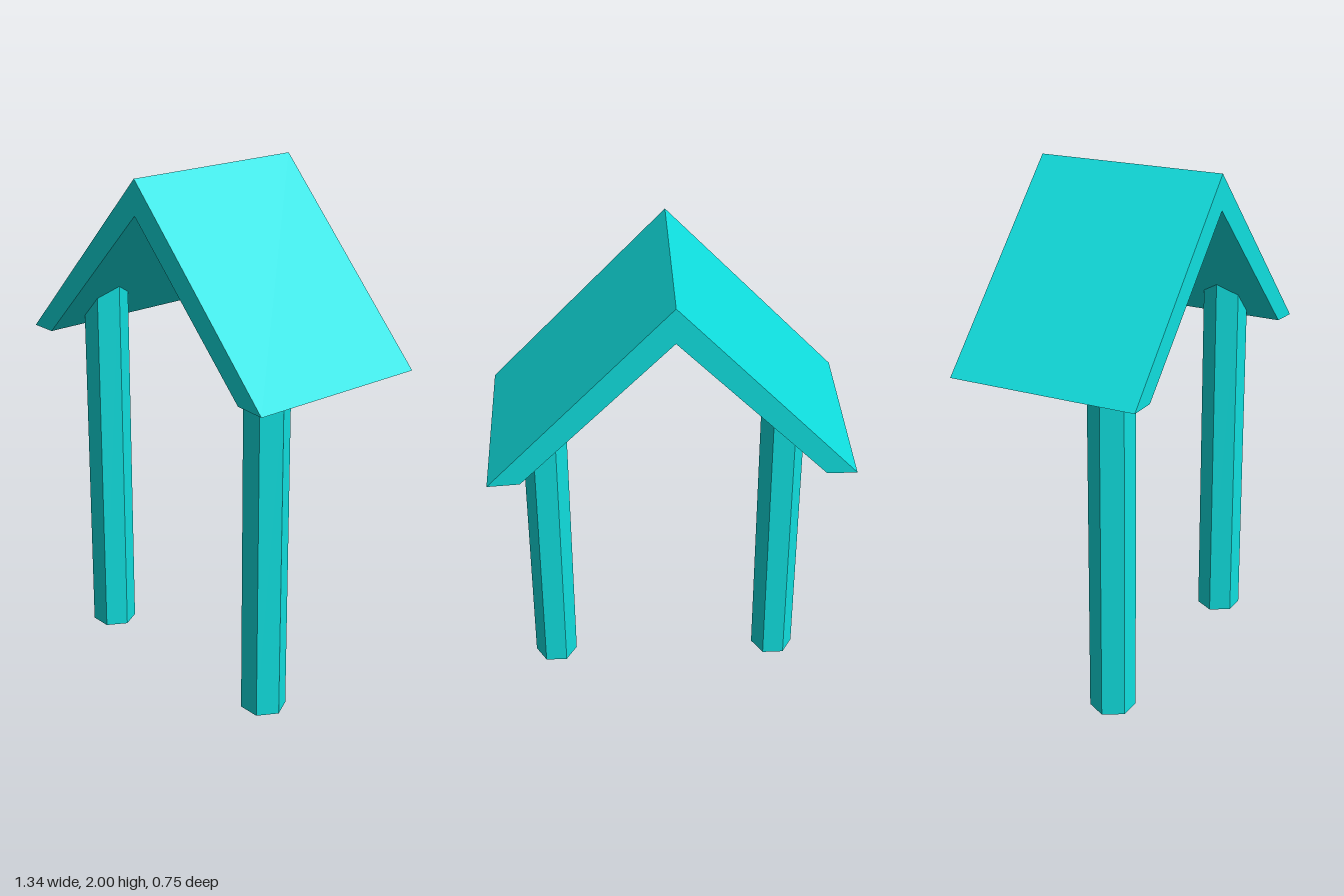
import * as THREE from 'three';

const APEX_X = -0.01;
const POST_Z = 0.173;

// Height inside the thickness of the roof above a given x
const roofCore = (x) => 1.92 - 1.03 * Math.abs(x - APEX_X);

function makeRoof(material) {
  // Gable profile with level-cut eaves, extruded front to back
  const profile = new THREE.Shape([
    [-0.67, 1.305], [-0.56, 1.305], [APEX_X, 1.865], [0.55, 1.297],
    [0.67, 1.29], [APEX_X, 2],
  ].map(([x, y]) => new THREE.Vector2(x, y)));
  const geometry = new THREE.ExtrudeGeometry(profile, { depth: 0.755, bevelEnabled: false });
  geometry.translate(0, 0, -0.378);
  const roof = new THREE.Mesh(geometry, material);
  roof.name = 'gableRoof';
  return roof;
}

function makePost(name, x, material) {
  // Hexagonal post with corners facing sideways
  const geometry = new THREE.CylinderGeometry(0.0875, 0.0875, 1, 6);
  geometry.rotateY(Math.PI / 2);
  geometry.translate(x, 0.5, POST_Z);
  // Slope the top so that it ends inside the roof slab
  const p = geometry.attributes.position;
  for (let i = 0; i < p.count; i++) {
    if (p.getY(i) > 0.5) p.setY(i, roofCore(p.getX(i)));
  }
  geometry.computeVertexNormals();
  const post = new THREE.Mesh(geometry, material);
  post.name = name;
  return post;
}

export function createModel() {
  const group = new THREE.Group();
  group.name = 'gableShelter';
  const material = new THREE.MeshStandardMaterial({ color: 0x10e0e0, flatShading: true });
  group.add(
    makeRoof(material),
    makePost('rightPost', -0.467, material),
    makePost('leftPost', 0.478, material),
  );
  return group;
}
